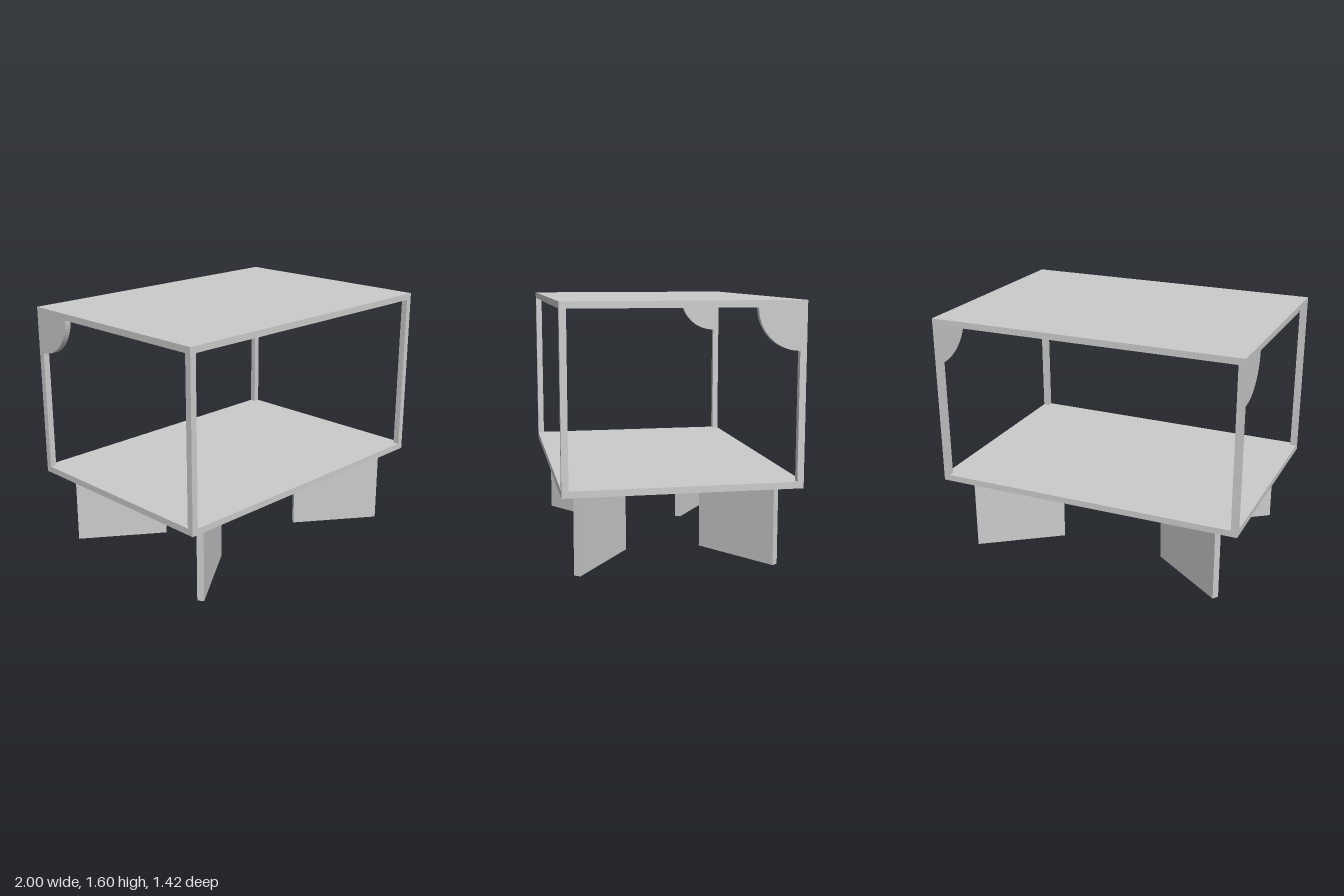
import * as THREE from 'three';

const material = new THREE.MeshStandardMaterial({ color: 0xcccccc });
const T = 0.04;                       // board and post thickness
const FRONT = 0.71, BOTTOM = 0.503, TOP = 1.602;
const backZ = (x) => -0.7 - 0.0105 * x; // the back edge runs slightly askew

function part(name, geometry, x = 0, y = 0, z = 0) {
  const mesh = new THREE.Mesh(geometry, material);
  mesh.name = name;
  mesh.position.set(x, y, z);
  return mesh;
}

// Horizontal board with the skewed back edge
function board() {
  const shape = new THREE.Shape([
    new THREE.Vector2(-1, -FRONT),
    new THREE.Vector2(1, -FRONT),
    new THREE.Vector2(1, -backZ(1)),
    new THREE.Vector2(-1, -backZ(-1)),
  ]);
  return new THREE.ExtrudeGeometry(shape, { depth: T, bevelEnabled: false }).rotateX(-Math.PI / 2);
}

// Quarter-disc bracket in the plane of a side, reaching forwards and down
function bracket(radius) {
  const shape = new THREE.Shape();
  shape.moveTo(0, 0);
  shape.lineTo(0, -radius);
  shape.absarc(0, 0, radius, -Math.PI / 2, 0, false);
  shape.lineTo(0, 0);
  return new THREE.ExtrudeGeometry(shape, { depth: T, bevelEnabled: false, curveSegments: 24 })
    .rotateY(-Math.PI / 2)
    .translate(T / 2, 0, 0);
}

export function createModel() {
  const model = new THREE.Group();
  model.name = 'shelfTable';

  model.add(part('lowerShelf', board(), 0, BOTTOM, 0));
  model.add(part('topBoard', board(), 0, TOP - T, 0));

  const postHeight = TOP - BOTTOM - 2 * T;
  const postY = (TOP + BOTTOM) / 2;
  const legAngle = Math.atan2(0.345, 0.485);

  for (const side of [-1, 1]) {
    const label = side > 0 ? 'left' : 'right';
    const x = side * (1 - T / 2);
    const rear = backZ(side);

    // Corner posts
    const post = new THREE.BoxGeometry(T, postHeight, T);
    model.add(part(label + 'FrontPost', post, x, postY, FRONT - T / 2));
    model.add(part(label + 'BackPost', post, x, postY, rear + T / 2));

    // Rounded bracket in the upper back corner
    model.add(part(label + 'Bracket', bracket(0.25), x, TOP - T, rear + T));

    // Panel legs set along the diagonals
    for (const [end, z] of [['Front', 0.44], ['Back', -0.418]]) {
      const leg = part(label + end + 'Leg', new THREE.BoxGeometry(0.595, BOTTOM, 0.042), side * 0.61, BOTTOM / 2, z);
      leg.rotation.y = -side * Math.sign(z) * legAngle;
      model.add(leg);
    }
  }
  return model;
}
